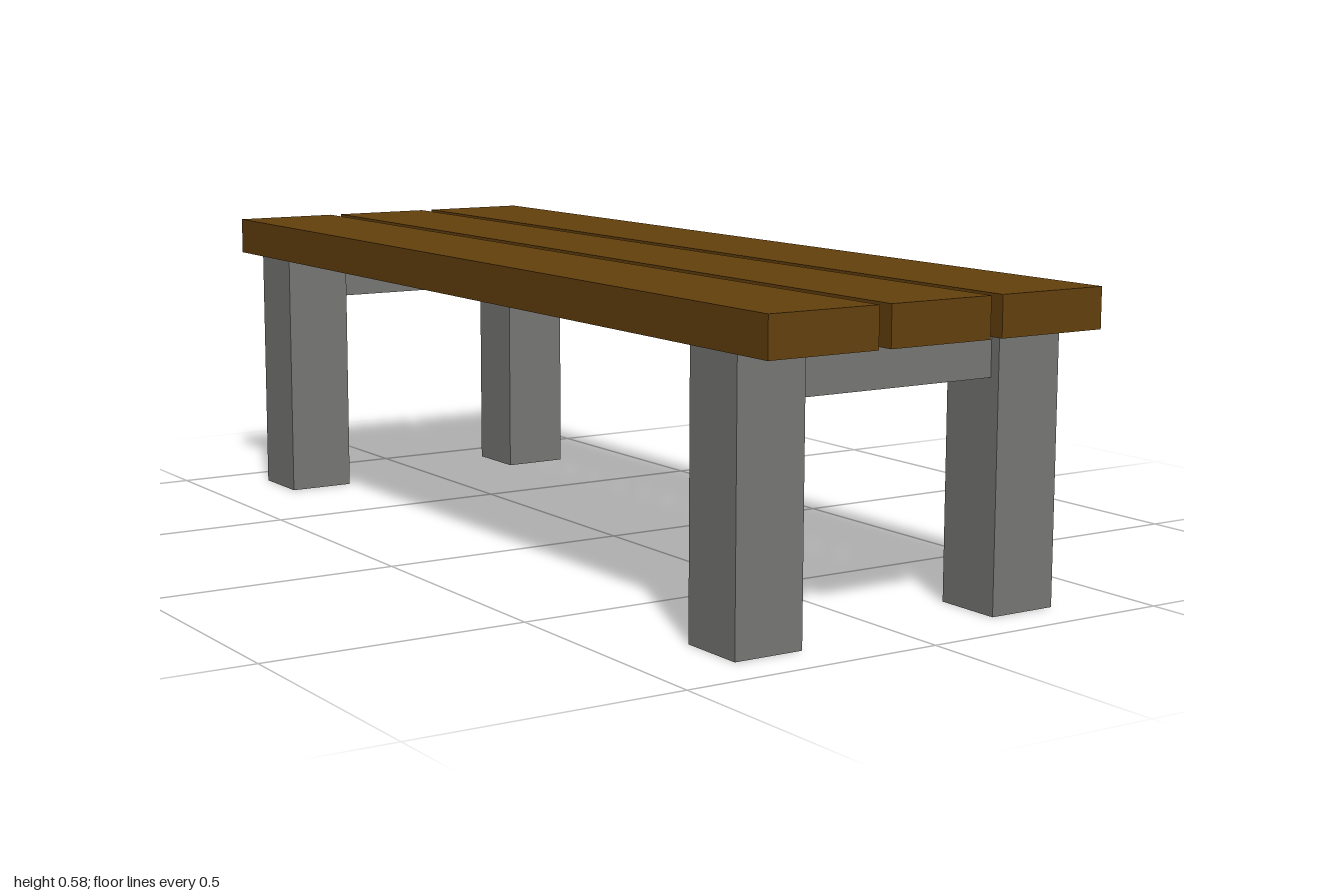
import * as THREE from 'three';

// Box given by its min and max corners
function boxBetween(name, material, [x0, y0, z0], [x1, y1, z1]) {
  const geometry = new THREE.BoxGeometry(x1 - x0, y1 - y0, z1 - z0);
  const mesh = new THREE.Mesh(geometry, material);
  mesh.position.set((x0 + x1) / 2, (y0 + y1) / 2, (z0 + z1) / 2);
  mesh.name = name;
  return mesh;
}

// Drop the top and bottom faces of a box, leaving a hollow tube
function openEnds(mesh) {
  const index = Array.from(mesh.geometry.index.array);
  mesh.geometry.setIndex([...index.slice(0, 12), ...index.slice(24)]);
  mesh.geometry.clearGroups();
  return mesh;
}

export function createModel() {
  const wood = new THREE.MeshStandardMaterial({ color: 0x65410d });
  wood.name = 'brown wood';
  const concrete = new THREE.MeshStandardMaterial({ color: 0x787876, side: THREE.DoubleSide });
  concrete.name = 'grey concrete';

  const bench = new THREE.Group();
  bench.name = 'bench';
  const seatBottom = 0.506, seatTop = 0.58;

  // Three seat planks running along z
  const planks = { rightPlank: [-0.351, -0.131], middlePlank: [-0.106, 0.104], leftPlank: [0.129, 0.351] };
  for (const [name, [x0, x1]] of Object.entries(planks)) {
    bench.add(boxBetween(name, wood, [x0, seatBottom, -1], [x1, seatTop, 1]));
  }

  // A pair of hollow legs joined by a crossbar at each end
  const ends = [
    { name: 'front', leg: [0.774, 0.908], bar: [0.782, 0.888] },
    { name: 'back', leg: [-0.905, -0.77], bar: [-0.898, -0.79] },
  ];
  for (const { name, leg, bar } of ends) {
    const frame = new THREE.Group();
    frame.name = name + 'Frame';
    for (const [side, x0, x1] of [['Right', -0.344, -0.208], ['Left', 0.205, 0.341]]) {
      frame.add(openEnds(boxBetween(name + side + 'Leg', concrete, [x0, 0, leg[0]], [x1, seatBottom, leg[1]])));
    }
    frame.add(boxBetween(name + 'Crossbar', concrete, [-0.208, 0.42, bar[0]], [0.205, seatBottom - 0.001, bar[1]]));
    bench.add(frame);
  }

  return bench;
}
